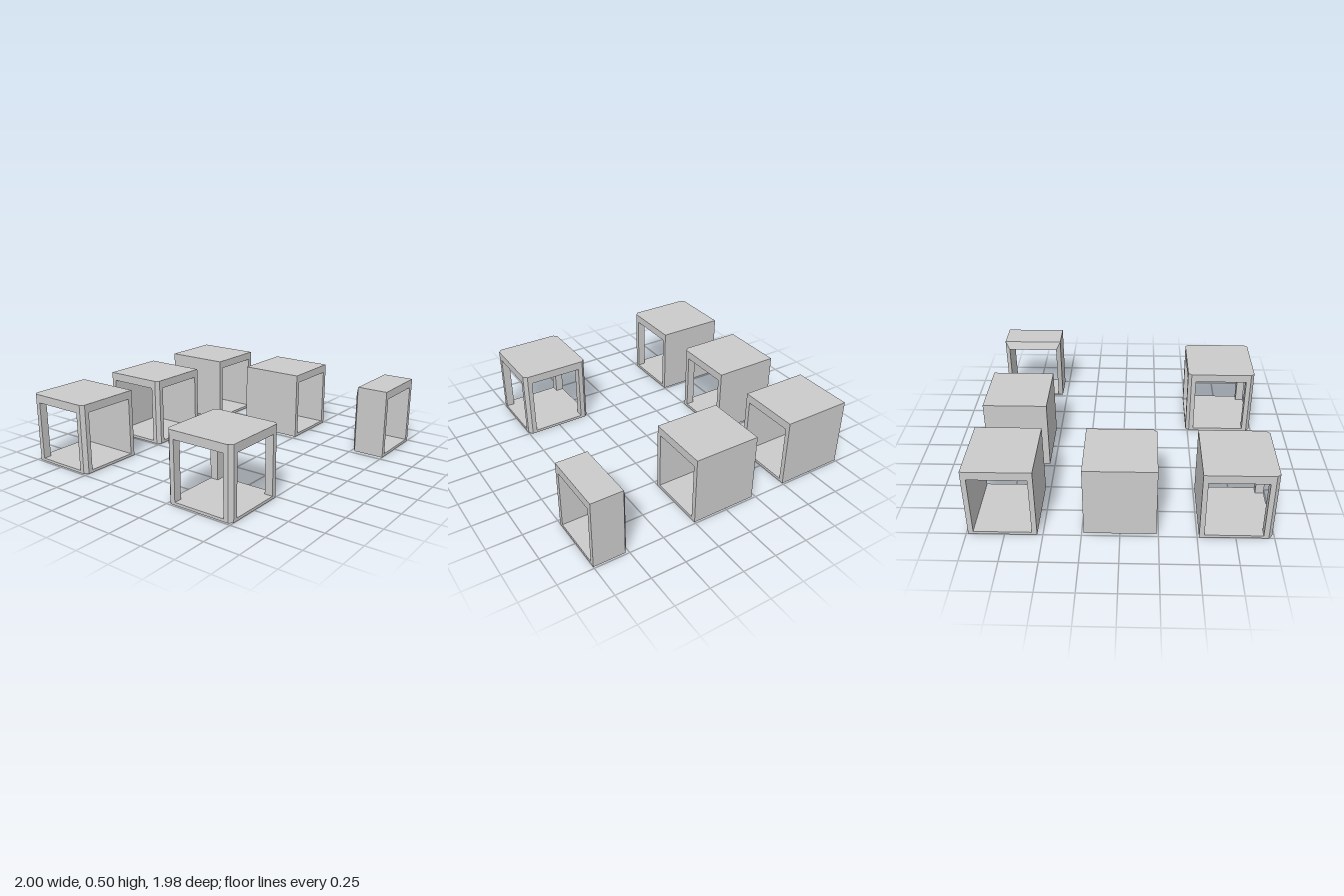
import * as THREE from 'three';

const SOLID = 0.225;  // half size to a closed side
const OPEN = 0.25;    // half size to an open side
const INNER = 0.191;  // half size of the interior and the openings
const FLOOR = 0.02, CEILING = 0.44, TOP = 0.5;
const material = new THREE.MeshStandardMaterial({ color: 0xcccccc, flatShading: true });

// Prism over a plan outline of [x, z] points, between two heights
function prism(name, points, y0, y1) {
  const shape = new THREE.Shape(points.map(([x, z]) => new THREE.Vector2(x, -z)));
  const geometry = new THREE.ExtrudeGeometry(shape, { depth: y1 - y0, bevelEnabled: false });
  geometry.rotateX(-Math.PI / 2).translate(0, y0, 0);
  const mesh = new THREE.Mesh(geometry, material);
  mesh.name = name;
  return mesh;
}

// Hollow room; `open` lists its open sides. Corners between two open sides are chamfered.
function room(name, cx, cz, open) {
  const group = new THREE.Group();
  group.name = name;
  const isOpen = side => open.includes(side);
  const reach = side => (isOpen(side) ? OPEN : SOLID);

  const outline = [];
  for (const [sx, sz] of [[1, 1], [-1, 1], [-1, -1], [1, -1]]) {
    const xSide = sx > 0 ? 'right' : 'left', zSide = sz > 0 ? 'front' : 'back';
    const ox = reach(xSide), oz = reach(zSide);
    let corner = [[ox, oz]];
    if (isOpen(xSide) && isOpen(zSide)) corner = [[OPEN, SOLID], [SOLID, OPEN]];
    const place = ([x, z]) => [x * sx, z * sz];
    const placed = corner.map(place);
    outline.push(...(sx * sz > 0 ? placed : placed.slice().reverse()));

    // corner post
    const post = [[INNER, INNER], [ox, INNER], ...corner, [INNER, oz]].map(place);
    group.add(prism('cornerPost', post, FLOOR, CEILING));
  }
  group.add(prism('floor', outline, 0, FLOOR), prism('roof', outline, CEILING, TOP));

  // closed walls between the posts
  const walls = { right: [1, 0], left: [-1, 0], front: [0, 1], back: [0, -1] };
  for (const [side, [dx, dz]] of Object.entries(walls)) {
    if (isOpen(side)) continue;
    const at = (out, along) => [dx * out + dz * along, dz * out - dx * along];
    const wall = [at(INNER, -INNER), at(SOLID, -INNER), at(SOLID, INNER), at(INNER, INNER)];
    group.add(prism(side + 'Wall', wall, FLOOR, CEILING));
  }
  group.position.set(cx, 0, cz);
  return group;
}

// Half-depth passage: a rectangular tube along x with a bevelled rim at one end
function passage(name, cz) {
  const outer = x => [[x, 0, SOLID], [x, 0, -SOLID], [x, TOP, -SOLID], [x, TOP, SOLID]];
  const inner = x => [[x, FLOOR, INNER], [x, FLOOR, -INNER], [x, CEILING, -INNER], [x, CEILING, INNER]];
  const loops = [outer(1), outer(0.775), inner(0.75), inner(1)];
  const positions = [];
  loops.forEach((a, k) => {
    const b = loops[(k + 1) % loops.length];
    for (let i = 0; i < 4; i++) {
      const j = (i + 1) % 4;
      positions.push(...a[i], ...b[i], ...b[j], ...a[i], ...b[j], ...a[j]);
    }
  });
  const geometry = new THREE.BufferGeometry();
  geometry.setAttribute('position', new THREE.Float32BufferAttribute(positions, 3));
  geometry.computeVertexNormals();
  const mesh = new THREE.Mesh(geometry, material);
  mesh.name = name;
  mesh.position.z = cz;
  return mesh;
}

export function createModel() {
  const model = new THREE.Group();
  model.name = 'roomModules';
  model.add(
    room('corridorRoom', -0.75, -0.7625, ['left', 'right']),
    room('deadEndRoom', 0, -0.7625, ['right']),
    passage('passageFrame', -0.7625),
    room('cornerRoom', -0.75, -0.0125, ['right', 'front']),
    room('threeWayRoom', -0.75, 0.7375, ['left', 'right', 'front']),
    room('crossingRoom', 0.5, 0.7375, ['left', 'right', 'front', 'back']),
  );
  return model;
}
